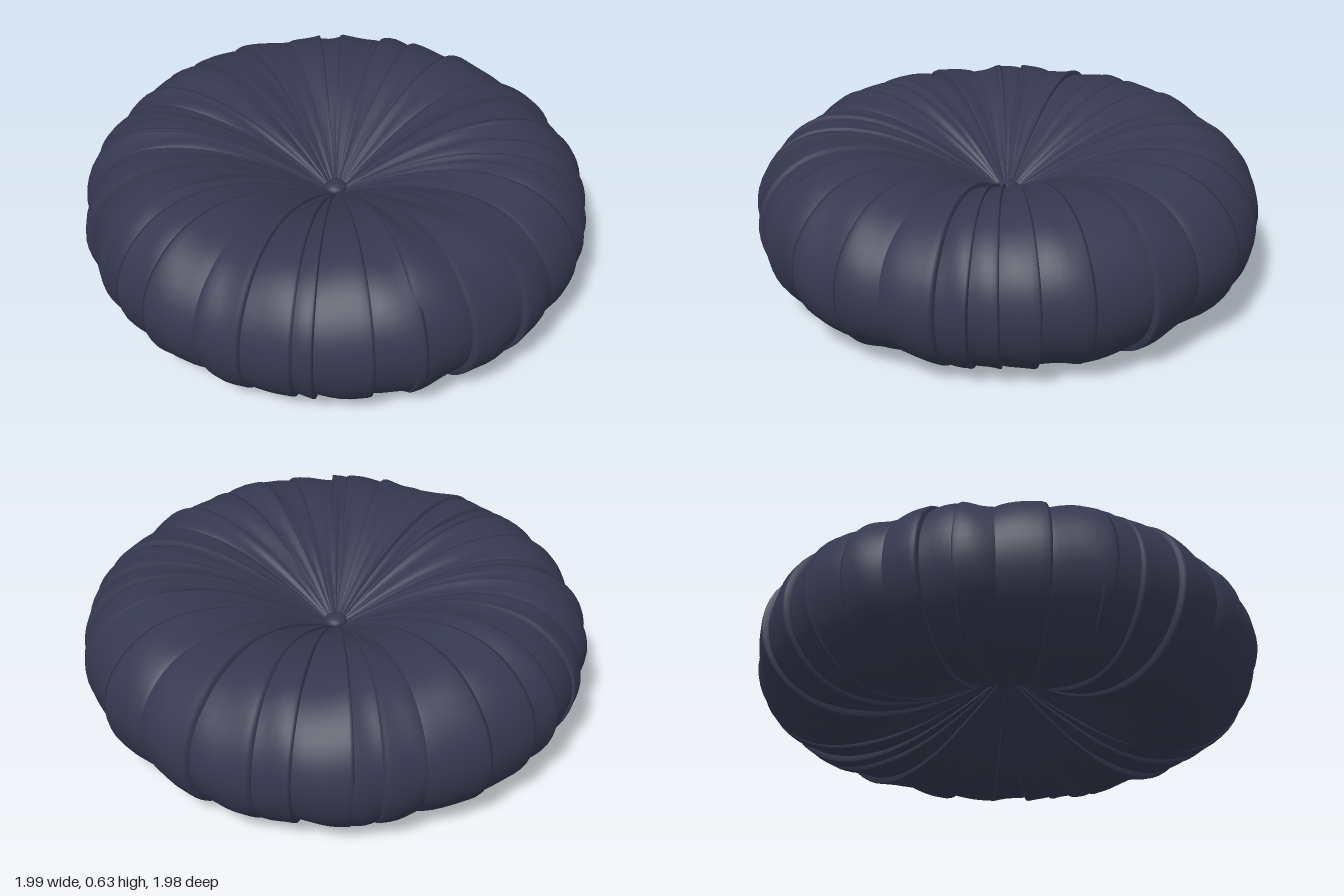
import * as THREE from 'three';

const fabric = new THREE.MeshStandardMaterial({ color: 0x363850, side: THREE.DoubleSide });

// Small seeded generator for the irregular pleats
function seeded(seed) {
  return () => {
    seed = (seed * 16807) % 2147483647;
    return seed / 2147483647;
  };
}

// Cushion cross-section (radius, height) from bottom centre to top centre
const profile = new THREE.CatmullRomCurve3([
  [0.015, 0.285], [0.1, 0.225], [0.22, 0.155], [0.38, 0.075], [0.53, 0.03], [0.67, 0.021],
  [0.79, 0.048], [0.89, 0.115], [0.957, 0.21], [0.982, 0.325], [0.957, 0.44], [0.89, 0.533],
  [0.79, 0.6], [0.67, 0.624], [0.53, 0.614], [0.38, 0.57], [0.22, 0.495], [0.1, 0.425], [0.015, 0.37],
].map(([r, y]) => new THREE.Vector3(r, y, 0)), false, 'centripetal');

const ROWS = 60;
const rings = Array.from({ length: ROWS + 1 }, (_, j) => {
  const p = profile.getPointAt(j / ROWS), t = profile.getTangentAt(j / ROWS);
  return { r: p.x, y: p.y, nr: t.y, ny: -t.x };
});

// Position across the pleat and fold height: tucked edge, slope, raised edge, turned-down lip
const columns = [
  [0, -0.022], [0.06, -0.013], [0.18, -0.007], [0.34, -0.002], [0.5, 0.002],
  [0.66, 0.006], [0.82, 0.009], [0.93, 0.011], [0.985, 0.009], [1, -0.02],
];

// One pleat running over the cushion from the lower to the upper button
function pleat(start, end, flip, rand) {
  const pos = [], index = [];
  const phase = rand() * 6.28, wave = 4 + rand() * 5, crease = 0.3 + rand() * 0.4;
  const lift = 0.7 + rand() * 0.6, dent = 0.004 + rand() * 0.007;
  const n = columns.length;
  rings.forEach((ring, j) => {
    const v = j / ROWS;
    const fade = Math.min(1, 0.12 + ring.r * 1.3);
    const inner = Math.max(0, 1 - ring.r / 0.8);
    for (let i = 0; i < n; i++) {
      const [t, h] = flip ? [1 - columns[n - 1 - i][0], columns[n - 1 - i][1]] : columns[i];
      const bend = 0.008 * Math.sin(v * wave + phase + start * 3);
      const a = start + (end - start) * t + bend * fade;
      // Soft dents on the sides and an extra gather towards the button
      const wrinkle = dent * Math.sin(v * wave * 3 + phase + t * 3) * Math.sin(Math.PI * t);
      const gather = -0.022 * inner * Math.exp(-(((t - crease) / 0.13) ** 2));
      const d = (h * lift + wrinkle + gather) * fade;
      const r = Math.max(0.004, ring.r + ring.nr * d);
      pos.push(r * Math.sin(a), ring.y + ring.ny * d, r * Math.cos(a));
      if (i < n - 1 && j < ROWS) {
        const k = j * n + i;
        index.push(k, k + 1, k + n + 1, k, k + n + 1, k + n);
      }
    }
  });
  const geometry = new THREE.BufferGeometry();
  geometry.setAttribute('position', new THREE.Float32BufferAttribute(pos, 3));
  geometry.setIndex(index);
  geometry.computeVertexNormals();
  return new THREE.Mesh(geometry, fabric);
}

export function createModel() {
  const group = new THREE.Group();
  group.name = 'pleatedCushion';
  const rand = seeded(4711);

  // Irregular pleat widths that close the circle
  const widths = Array.from({ length: 34 }, () => 0.45 + rand());
  const total = widths.reduce((s, w) => s + w, 0);
  const cover = new THREE.Group();
  cover.name = 'pleatedCover';
  let angle = 0;
  widths.forEach((w, i) => {
    const span = (w / total) * Math.PI * 2;
    const mesh = pleat(angle - 0.022, angle + span + 0.022, rand() < 0.3, rand);
    mesh.name = `pleat${i + 1}`;
    cover.add(mesh);
    angle += span;
  });
  group.add(cover);

  // Covered buttons pulling the centre in from both sides
  for (const [name, y] of [['topButton', 0.392], ['bottomButton', 0.262]]) {
    const button = new THREE.Mesh(new THREE.SphereGeometry(0.045, 20, 12), fabric);
    button.scale.y = 0.55;
    button.position.y = y;
    button.name = name;
    group.add(button);
  }
  return group;
}
